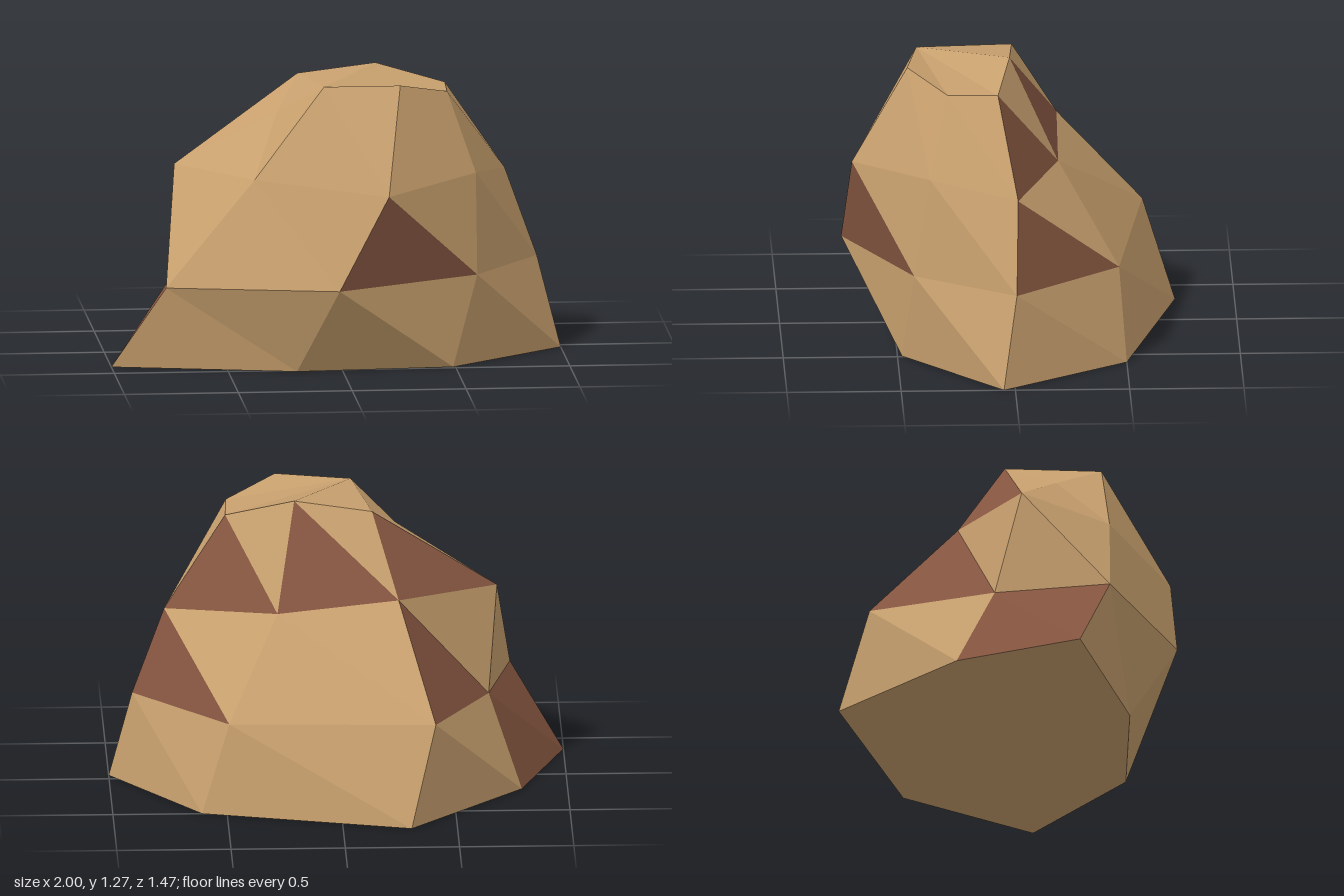
import * as THREE from 'three';

// Four seven-sided rings, from the ground up, each running front, -x side, back, +x side
const RINGS = [
  [[-0.2, 0, 0.53], [-1, 0, 0.35], [-0.8, 0, -0.2], [-0.3, 0, -0.74], [0.61, 0, -0.5], [1, 0, 0.05], [0.49, 0, 0.48]],
  [[-0.03, 0.39, 0.73], [-0.77, 0.37, 0.47], [-0.66, 0.39, -0.04], [-0.41, 0.43, -0.6], [0.49, 0.4, -0.47], [0.9, 0.4, -0.01], [0.6, 0.4, 0.43]],
  [[0.19, 0.8, 0.69], [-0.38, 0.84, 0.45], [-0.7, 0.85, 0.08], [-0.26, 0.88, -0.22], [0.27, 0.82, -0.21], [0.76, 0.79, -0.02], [0.6, 0.84, 0.36]],
  [[0.26, 1.25, 0.45], [-0.07, 1.24, 0.4], [-0.26, 1.1, 0.21], [-0.15, 1.225, -0.02], [0.19, 1.27, 0], [0.49, 1.19, 0.06], [0.48, 1.19, 0.28]],
];
const SIDES = 7;

// Brown facets: band number, side number, lower (L) or upper (U) triangle
const BROWN = new Set(['0-1-L', '0-1-U', '1-2-L', '1-4-L', '1-6-L', '2-2-L', '2-3-L', '2-4-L']);

function facetMesh(name, triangles, color, materialName) {
  const geometry = new THREE.BufferGeometry();
  geometry.setAttribute('position', new THREE.Float32BufferAttribute(triangles.flat(2), 3));
  geometry.computeVertexNormals();
  const material = new THREE.MeshStandardMaterial({ color });
  material.name = materialName;
  const mesh = new THREE.Mesh(geometry, material);
  mesh.name = name;
  return mesh;
}

export function createModel() {
  const tan = [], brown = [];

  // Side bands: two triangles for each side
  for (let band = 0; band < RINGS.length - 1; band++) {
    const low = RINGS[band], high = RINGS[band + 1];
    for (let i = 0; i < SIDES; i++) {
      const j = (i + 1) % SIDES;
      const add = (half, triangle) =>
        (BROWN.has(`${band}-${i}-${half}`) ? brown : tan).push(triangle);
      add('L', [low[j], low[i], high[j]]);
      add('U', [low[i], high[i], high[j]]);
    }
  }

  // Flat underside and faceted top
  const base = RINGS[0], top = RINGS[3];
  for (let k = 1; k < SIDES - 1; k++) {
    tan.push([base[0], base[k], base[k + 1]]);
    tan.push([top[1], top[(k + 2) % SIDES], top[k + 1]]);
  }

  const rock = new THREE.Group();
  rock.name = 'rock';
  rock.add(
    facetMesh('rockBody', tan, 0xc8a06e, 'sandstone'),
    facetMesh('brownFacets', brown, 0x875741, 'reddish brown'),
  );
  return rock;
}
